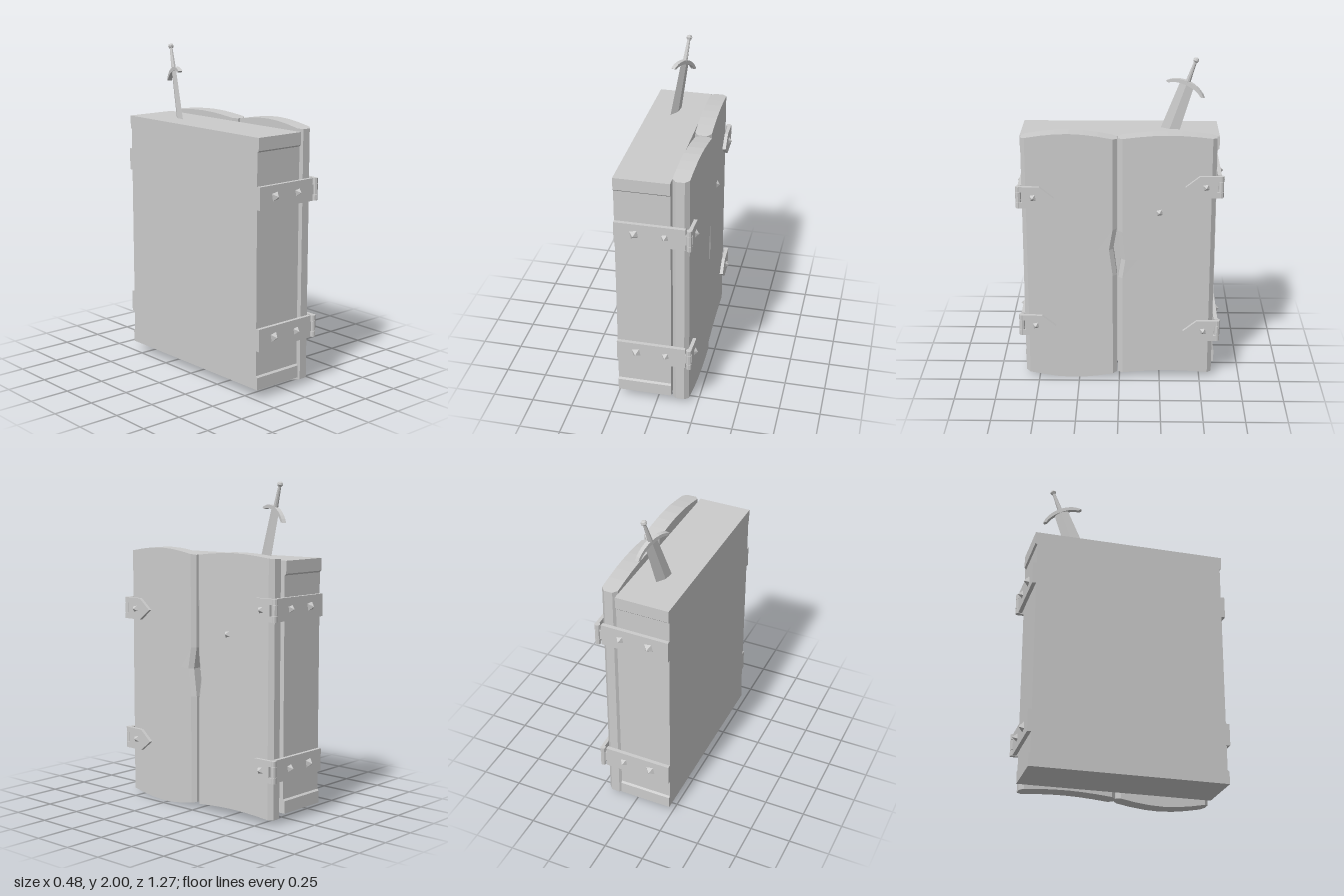
import * as THREE from 'three';

const material = new THREE.MeshStandardMaterial({ color: 0xcccccc, flatShading: true });

function add(parent, name, geometry, x = 0, y = 0, z = 0) {
  const mesh = new THREE.Mesh(geometry, material);
  mesh.name = name;
  mesh.position.set(x, y, z);
  parent.add(mesh);
  return mesh;
}

function group(parent, name) {
  const g = new THREE.Group();
  g.name = name;
  parent.add(g);
  return g;
}

function shapeFrom(points) {
  return new THREE.Shape(points.map(([x, y]) => new THREE.Vector2(x, y)));
}

// Four-sided stud with its tip along +y, slightly twisted
function studGeometry(radius, height) {
  return new THREE.ConeGeometry(radius, height, 4).rotateY(Math.PI / 4 + 0.2).translate(0, height / 2, 0);
}

// Cabinet body: side walls recessed between a top and a bottom rail
function buildCabinet(parent) {
  const half = [[0.595, 0.06], [0.595, 0.135], [0.584, 0.145], [0.584, 1.465], [0.595, 1.475], [0.595, 1.55]];
  const outline = half.concat(half.map(([z, y]) => [-z, y]).reverse());
  const geometry = new THREE.ExtrudeGeometry(shapeFrom(outline), { depth: 0.33, bevelEnabled: false });
  add(parent, 'cabinetBody', geometry.rotateY(Math.PI / 2), -0.24);
}

// Warped plank door: box grid bent into chamfered edges, bowed ends and a finger notch
function buildDoor(parent, name, d) {
  const stations = [0, 0.045, 0.2, 0.35, 0.5, 0.65, 0.8, 0.955, 1];
  const columns = stations.length - 1;
  const geometry = new THREE.BoxGeometry(1, 4, columns, 1, 4, columns);
  const pos = geometry.attributes.position;
  const side = Math.sign(d.outerZ);
  for (let i = 0; i < pos.count; i++) {
    const column = Math.round(columns / 2 - side * pos.getZ(i));
    const row = Math.round(pos.getY(i) + 2);
    const t = stations[column];
    const bow = Math.sin(Math.PI * t);
    const edge = column === 0 || column === columns;
    const rows = [d.bottom + d.bottomBow * bow, ...d.notchY, d.top + d.topBow * bow];
    const notch = row === 2 && column >= columns - 1 ? d.notch * side : 0;
    const x = THREE.MathUtils.lerp(d.outerX, d.innerX, t) + Math.sign(pos.getX(i)) * (edge ? 0.026 : 0.05);
    pos.setXYZ(i, x, rows[row], THREE.MathUtils.lerp(d.outerZ, d.innerZ, t) + notch);
  }
  geometry.computeVertexNormals();
  add(parent, name, geometry);
}

// Strap hinge: side strap, knuckles, pointed leaf on the door, and studs
function buildHinge(parent, side, y, tilt) {
  const hinge = group(parent, side > 0 ? 'leftHinge' : 'rightHinge');
  hinge.position.y = y;
  add(hinge, 'sideStrap', new THREE.BoxGeometry(0.42, 0.135, 0.024), -0.03, 0, side * 0.595);
  for (const [x, radius] of [[-0.12, 0.033], [0.06, 0.026]]) {
    add(hinge, 'strapStud', studGeometry(radius, 0.03).rotateX(side * Math.PI / 2), x, 0, side * 0.606);
  }
  add(hinge, 'strapTongue', new THREE.BoxGeometry(0.03, 0.06, 0.02), 0.191, 0, side * 0.597);
  for (const [ky, h] of [[-0.05, 0.034], [0, 0.062], [0.05, 0.034]]) {
    add(hinge, 'knuckle', new THREE.CylinderGeometry(0.017, 0.017, h, 8), 0.203, ky, side * 0.603);
  }
  const leaf = group(hinge, 'doorLeaf');
  leaf.position.set(0.197, 0, side * 0.6);
  leaf.rotation.y = -side * tilt;
  // The leaf is cut away around the middle knuckle
  const outline = [[0, 0.033], [0, 0.067], [0.125, 0.067], [0.21, 0], [0.125, -0.067],
    [0, -0.067], [0, -0.033], [0.02, -0.033], [0.02, 0.033]].map(([u, v]) => [side * u, v]);
  const plate = new THREE.ExtrudeGeometry(shapeFrom(outline), { depth: 0.021, bevelEnabled: false });
  add(leaf, 'leafPlate', plate.rotateY(Math.PI / 2));
  add(leaf, 'leafStud', studGeometry(0.025, 0.022).rotateZ(-Math.PI / 2), 0.02, 0, -side * 0.085);
}

// Sword stuck into the cabinet top, built around the guard with the grip along +y
function buildSword(parent) {
  const sword = group(parent, 'sword');
  const up = new THREE.Vector3(0.108, 0.943, -0.314).normalize();
  const across = new THREE.Vector3(0.336, -0.356, -0.87);
  across.addScaledVector(up, -across.dot(up)).normalize();
  const facing = new THREE.Vector3().crossVectors(across, up);
  sword.quaternion.setFromRotationMatrix(new THREE.Matrix4().makeBasis(across, up, facing));
  sword.position.set(-0.043, 1.84, -0.402);

  // Blade, a flattened diamond widening towards the cabinet
  const blade = new THREE.CylinderGeometry(0.044, 0.062, 0.4, 4).rotateY(0);
  blade.scale(1, 1, 0.26);
  add(sword, 'blade', blade, 0, -0.2, 0);

  // Crescent guard with drooping, flared tips
  const crescent = new THREE.Shape();
  crescent.moveTo(-0.127, -0.04);
  crescent.quadraticCurveTo(-0.085, 0.008, 0, 0.014);
  crescent.quadraticCurveTo(0.085, 0.008, 0.127, -0.04);
  crescent.lineTo(0.108, -0.044);
  crescent.quadraticCurveTo(0.07, -0.012, 0, -0.012);
  crescent.quadraticCurveTo(-0.07, -0.012, -0.108, -0.044);
  crescent.closePath();
  const guard = new THREE.ExtrudeGeometry(crescent, { depth: 0.026, bevelEnabled: false, curveSegments: 5 });
  add(sword, 'guard', guard, 0, 0, -0.013);

  // Grip and pommel
  add(sword, 'grip', new THREE.CylinderGeometry(0.009, 0.015, 0.14, 8), 0, 0.075, 0);
  const pommel = [[0, -0.016], [0.013, -0.012], [0.019, 0], [0.013, 0.012], [0, 0.016]];
  add(sword, 'pommel', new THREE.LatheGeometry(pommel.map(([r, h]) => new THREE.Vector2(r, h)), 8), 0, 0.151, 0);
}

export function createModel() {
  const model = new THREE.Group();
  model.name = 'cabinet';
  buildCabinet(model);
  buildDoor(model, 'leftDoor', {
    outerZ: 0.585, innerZ: 0.015, outerX: 0.145, innerX: 0.166, top: 1.562, topBow: 0.033,
    bottom: 0.038, bottomBow: -0.036, notchY: [0.7, 0.87, 1.0], notch: 0.022,
  });
  buildDoor(model, 'rightDoor', {
    outerZ: -0.576, innerZ: 0.008, outerX: 0.141, innerX: 0.154, top: 1.562, topBow: 0.023,
    bottom: 0.032, bottomBow: 0.017, notchY: [0.68, 0.8, 0.98], notch: 0.018,
  });
  add(model, 'doorStud', studGeometry(0.027, 0.022).rotateZ(-Math.PI / 2), 0.196, 1.105, -0.24);
  for (const y of [0.365, 1.203]) buildHinge(model, 1, y, 0.037);
  for (const y of [0.332, 1.272]) buildHinge(model, -1, y, 0.023);
  buildSword(model);
  return model;
}
